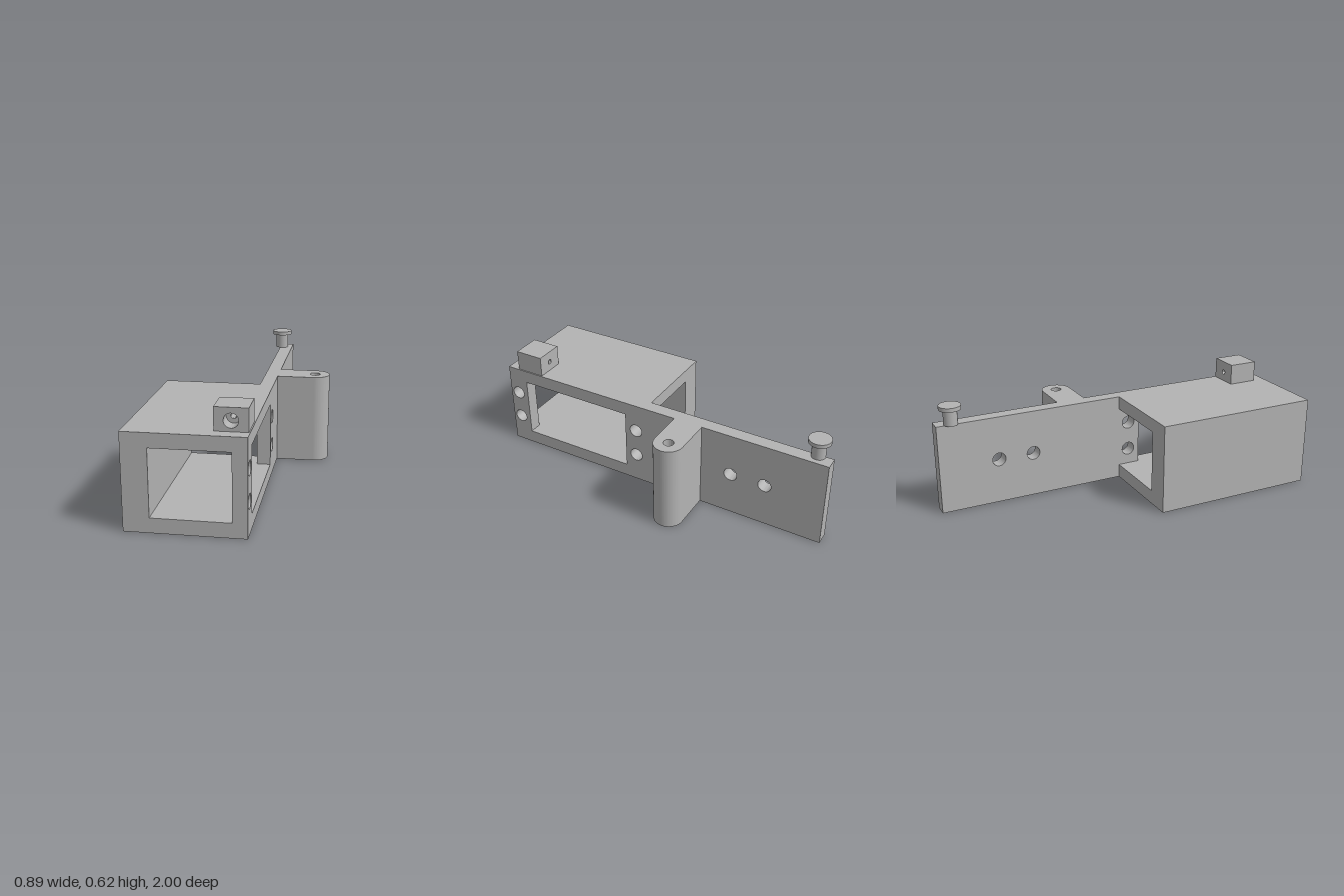
import * as THREE from 'three';
import { toCreasedNormals } from 'three/addons/utils/BufferGeometryUtils.js';

const H = 0.5;                        // body height
const WIN_LOW = 0.077, WIN_HIGH = 0.425; // opening heights
const PLATE_IN = 0.08, PLATE_OUT = 0.155; // side plate faces in x

function polygon(points) {
  return new THREE.Shape(points.map(([x, y]) => new THREE.Vector2(x, y)));
}

function rectangle(x0, y0, x1, y1) {
  return polygon([[x0, y0], [x1, y0], [x1, y1], [x0, y1]]);
}

function circle(x, y, r) {
  return new THREE.Path().absarc(x, y, r, 0, Math.PI * 2, true);
}

function extrude(shape, depth) {
  const geometry = new THREE.ExtrudeGeometry(shape, { depth, bevelEnabled: false, curveSegments: 24 });
  return toCreasedNormals(geometry, 0.6);
}

export function createModel() {
  const model = new THREE.Group();
  model.name = 'bracket';
  const grey = new THREE.MeshStandardMaterial({ color: 0xb3b3b3 });
  grey.name = 'grey';

  function add(name, geometry, parent = model) {
    const mesh = new THREE.Mesh(geometry, grey);
    mesh.name = name;
    parent.add(mesh);
    return mesh;
  }

  // Long side plate, drawn in (-z, y) and extruded along x
  const plate = rectangle(-1, 0, 1, H);
  plate.holes.push(rectangle(-0.88, WIN_LOW, -0.195, WIN_HIGH));
  for (const z of [0.947, 0.127]) {
    for (const y of [0.17, 0.335]) plate.holes.push(circle(-z, y, 0.038));
  }
  for (const z of [-0.465, -0.665]) plate.holes.push(circle(-z, 0.253, 0.038));
  add('sidePlate', extrude(plate, PLATE_OUT - PLATE_IN).rotateY(Math.PI / 2).translate(PLATE_IN, 0, 0));

  // C-shaped housing that closes against the plate to form a tunnel
  const shell = polygon([
    [PLATE_IN, 0], [PLATE_IN, WIN_LOW], [-0.316, WIN_LOW], [-0.316, WIN_HIGH],
    [PLATE_IN, WIN_HIGH], [PLATE_IN, H], [-0.447, H], [-0.447, 0],
  ]);
  add('housing', extrude(shell, 0.932).translate(0, 0, 0.068));

  // Rounded hinge lug with a vertical pin hole
  const lugX = 0.364, lugZ = -0.203, lugR = 0.083;
  const lug = new THREE.Shape();
  lug.moveTo(PLATE_OUT, -lugZ - lugR);
  lug.lineTo(lugX, -lugZ - lugR);
  lug.absarc(lugX, -lugZ, lugR, -Math.PI / 2, Math.PI / 2, false);
  lug.lineTo(PLATE_OUT, -lugZ + lugR);
  lug.closePath();
  lug.holes.push(circle(lugX, -lugZ, 0.029));
  add('hingeLug', extrude(lug, H).rotateX(-Math.PI / 2));

  // Small top block with a counterbored hole: narrow bore behind, wide bore in front
  const block = new THREE.Group();
  block.name = 'topBlock';
  model.add(block);
  for (const [name, radius, z0, z1] of [
    ['blockRear', 0.014, 0.765, 0.85],
    ['blockFront', 0.036, 0.85, 0.93],
  ]) {
    const section = rectangle(-0.017, H, 0.149, 0.617);
    section.holes.push(circle(0.065, 0.553, radius));
    add(name, extrude(section, z1 - z0).translate(0, 0, z0), block);
  }

  // Headed post at the rear end of the plate
  const post = new THREE.Group();
  post.name = 'post';
  post.position.set(0.09, H, -0.917);
  model.add(post);
  add('postShaft', new THREE.CylinderGeometry(0.038, 0.038, 0.086, 40), post).position.y = 0.043;
  add('postHead', new THREE.CylinderGeometry(0.06, 0.06, 0.022, 48), post).position.y = 0.097;

  return model;
}
